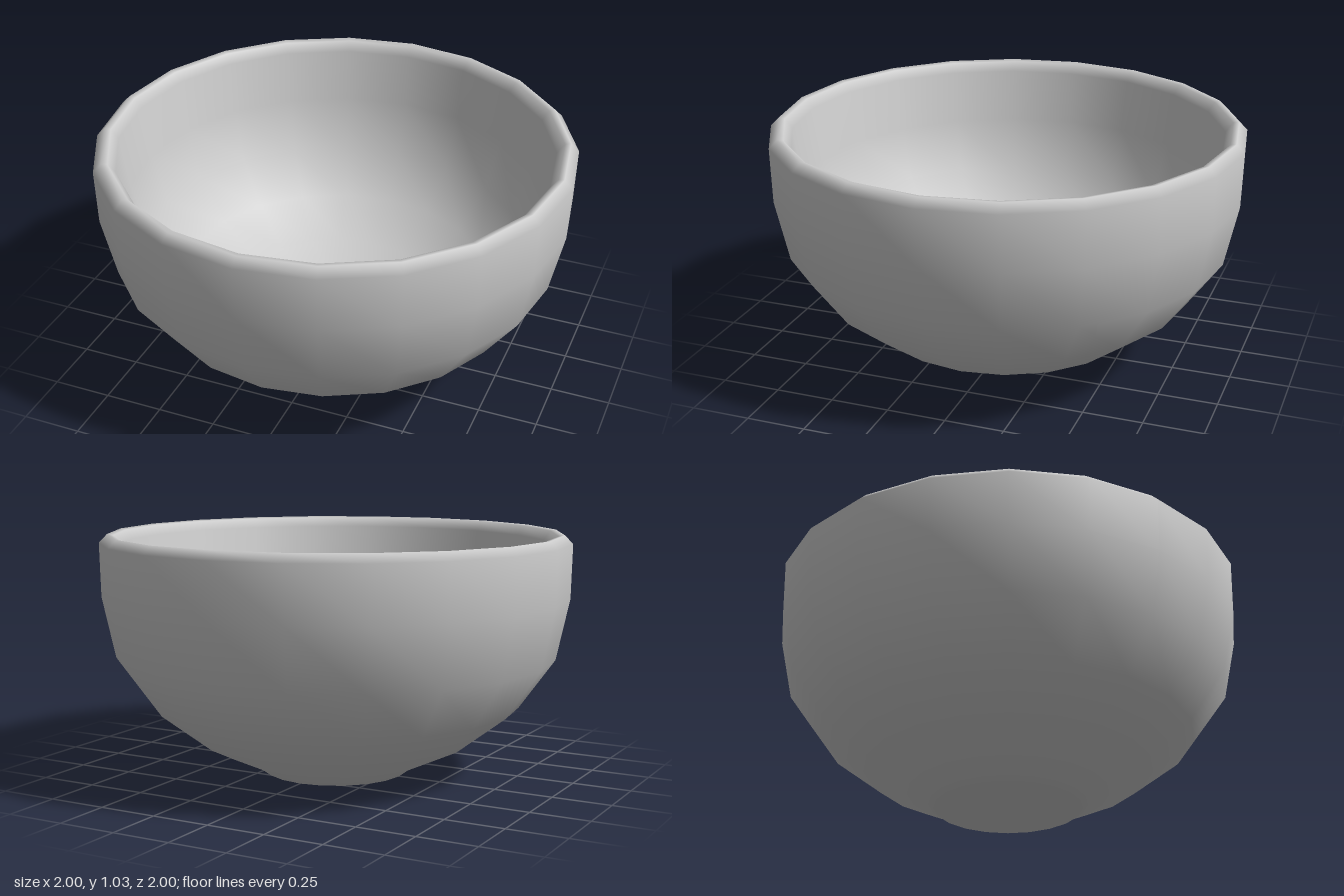
import * as THREE from 'three';

export function createModel() {
  const group = new THREE.Group();
  group.name = 'bowl';
  const material = new THREE.MeshStandardMaterial({ color: 0xcccccc });

  // One closed wall profile [radius, height]: foot, outside, rim, then inside down to the floor
  const profile = [
    [0, 0.02], [0.24, 0.012], [0.31, 0], [0.35, 0.03],
    [0.575, 0.135], [0.79, 0.3], [0.94, 0.51], [0.995, 0.77], [1, 1.0],
    [0.965, 1.035], [0.94, 1.03], [0.91, 0.99],
    [0.88, 0.76], [0.81, 0.53], [0.67, 0.35], [0.47, 0.22], [0.24, 0.145], [0, 0.125],
  ].map(([r, y]) => new THREE.Vector2(r, y));

  const shell = new THREE.Mesh(new THREE.LatheGeometry(profile, 20), material);
  shell.name = 'bowlShell';
  group.add(shell);
  return group;
}
